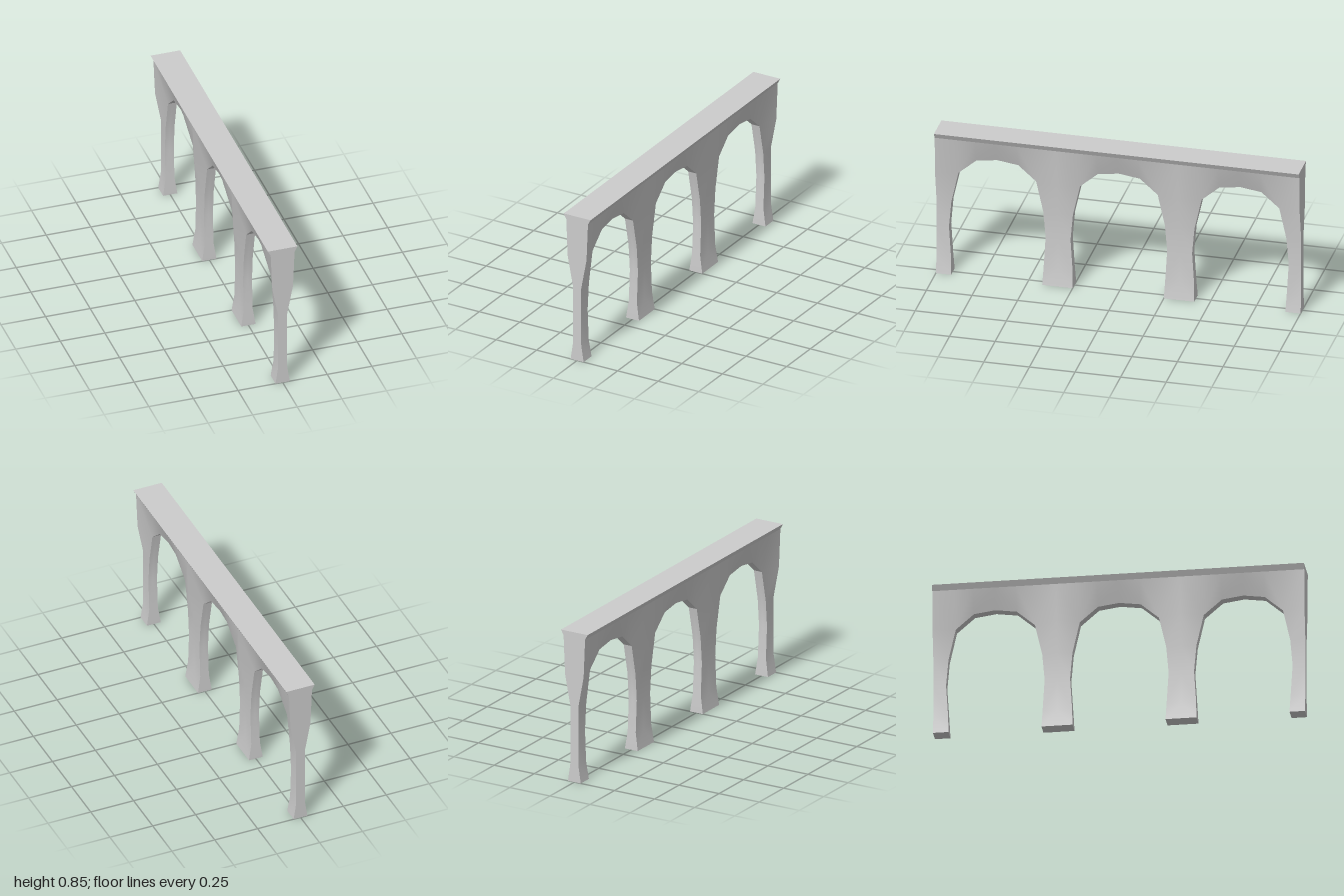
import * as THREE from 'three';
import { toCreasedNormals } from 'three/addons/utils/BufferGeometryUtils.js';

const BAY = 2 / 3, HALF = BAY / 2;
const TOP = 0.85, TOP_W = 0.083, WALL_TOP = 0.82, WALL_W = 0.067;

// Arch edge from foot to crown: [half thickness x, y, distance z from arch centre]
const edge = [
  [0.04, 0, 0.25], [0.025, 0.1, 0.254], [0.025, 0.28, 0.265], [0.025, 0.43, 0.252],
  [0.025, 0.605, 0.213], [0.025, 0.605, 0.213], [0.025, 0.605, 0.213],
  [0.025, 0.69, 0.115], [0.025, 0.706, 0],
];
// Matching outer line: up the pier axis, then along the top of the wall
const outer = [
  [0.04, 0, HALF], [0.025, 0.1, HALF], [0.025, 0.28, HALF], [0.025, 0.43, HALF],
  [0.058, 0.605, HALF], [WALL_W, WALL_TOP, HALF], [WALL_W, WALL_TOP, 0.213],
  [WALL_W, WALL_TOP, 0.115], [WALL_W, WALL_TOP, 0],
];
const CORNER = 5; // index where the outer line turns along the wall top

const middle = (p) => [0, p[1], p[2]];

// Collects triangles, placing each quad in every mirrored quarter of a bay
class Part {
  constructor(name) {
    this.name = name;
    this.positions = [];
  }
  triangle(a, b, c, sx, sz, centre) {
    const [p, q, r] = (sx * sz > 0 ? [a, b, c] : [a, c, b]).map(
      (v) => new THREE.Vector3(v[0] * sx, v[1], v[2] * sz + centre));
    if (new THREE.Triangle(p, q, r).getArea() < 1e-7) return;
    for (const v of [p, q, r]) this.positions.push(v.x, v.y, v.z);
  }
  quad(a, b, c, d, place) {
    this.triangle(a, b, c, ...place);
    this.triangle(a, c, d, ...place);
  }
  mesh(material) {
    const geometry = new THREE.BufferGeometry();
    geometry.setAttribute('position', new THREE.Float32BufferAttribute(this.positions, 3));
    const mesh = new THREE.Mesh(toCreasedNormals(geometry, 0.6), material);
    mesh.name = this.name;
    return mesh;
  }
}

export function createModel() {
  const group = new THREE.Group();
  group.name = 'archedBridge';
  const material = new THREE.MeshStandardMaterial({ color: 0xcccccc });

  const walls = new Part('flaredWalls');
  const soffits = new Part('archUndersides');
  const cornice = new Part('cornice');
  const deck = new Part('deck');
  const feet = new Part('pierBases');
  const ends = new Part('endFaces');

  for (const bay of [-1, 0, 1]) for (const sz of [-1, 1]) for (const sx of [-1, 1]) {
    const place = [sx, sz, bay * BAY];

    // Side wall and the narrow underside of the arch
    for (let i = 0; i < edge.length - 1; i++) {
      walls.quad(edge[i], edge[i + 1], outer[i + 1], outer[i], place);
      soffits.quad(edge[i], middle(edge[i]), middle(edge[i + 1]), edge[i + 1], place);
    }

    // Projecting cornice and flat deck
    const t0 = [TOP_W, TOP, HALF], t1 = [TOP_W, TOP, 0];
    cornice.quad([WALL_W, WALL_TOP, HALF], [WALL_W, WALL_TOP, 0], t1, t0, place);
    deck.quad(t0, t1, middle(t1), middle(t0), place);

    // Underside of the pier foot
    feet.quad(edge[0], outer[0], middle(outer[0]), middle(edge[0]), place);

    // Flat ends of the outermost piers
    if (bay * sz === 1) {
      const axis = [...outer.slice(0, CORNER + 1), t0];
      for (let i = 0; i < axis.length - 1; i++) {
        ends.quad(axis[i], axis[i + 1], middle(axis[i + 1]), middle(axis[i]), place);
      }
    }
  }

  for (const part of [walls, soffits, cornice, deck, feet, ends]) group.add(part.mesh(material));
  return group;
}
